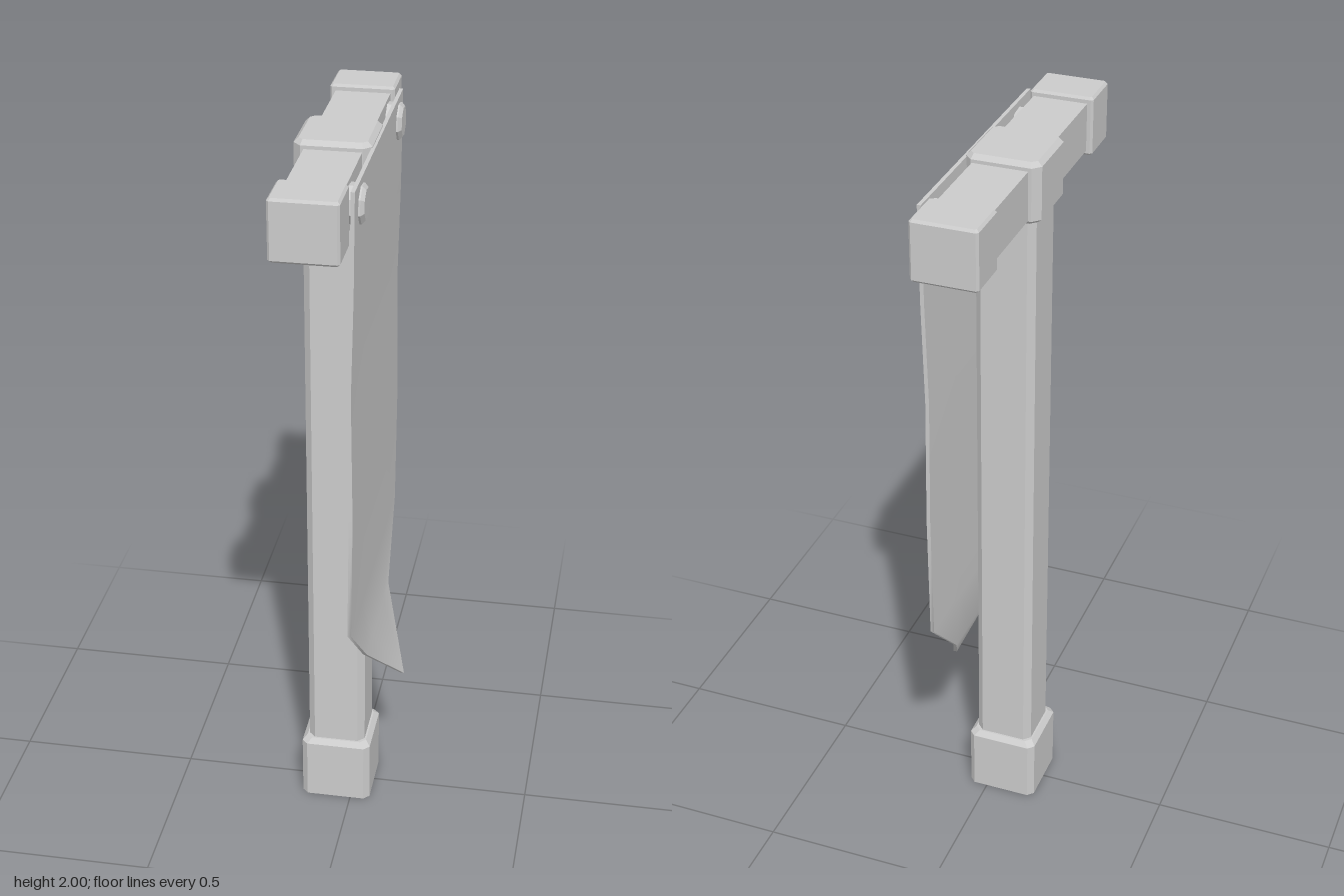
import * as THREE from 'three';

const grey = new THREE.MeshStandardMaterial({ color: 0xcccccc, flatShading: true, side: THREE.DoubleSide });
const clothGrey = new THREE.MeshStandardMaterial({ color: 0xcccccc, side: THREE.DoubleSide });

// Chamfered rectangle outline, counter-clockwise seen from above
function outline(w, d, c, y) {
  const a = w / 2, b = d / 2;
  return [[a, b - c], [a, c - b], [a - c, -b], [c - a, -b], [-a, c - b], [-a, b - c], [c - a, b], [a - c, b]]
    .map(([x, z]) => [x, y, z]);
}

// Upright block from sections [y, width, depth, chamfer], with optional end faces
function block(name, sections, { bottom = true, top = true } = {}) {
  const rings = sections.map(([y, w, d, c]) => outline(w, d, c, y));
  const pos = rings.flat(2), index = [], n = 8;
  for (let r = 0; r < rings.length - 1; r++) {
    for (let i = 0; i < n; i++) {
      const a = r * n + i, b = r * n + (i + 1) % n;
      index.push(a, b, b + n, a, b + n, a + n);
    }
  }
  const last = (rings.length - 1) * n;
  for (let i = 1; i < n - 1; i++) {
    if (bottom) index.push(0, i + 1, i);
    if (top) index.push(last, last + i, last + i + 1);
  }
  const geo = new THREE.BufferGeometry();
  geo.setAttribute('position', new THREE.Float32BufferAttribute(pos, 3));
  geo.setIndex(index);
  geo.computeVertexNormals();
  const mesh = new THREE.Mesh(geo, grey);
  mesh.name = name;
  return mesh;
}

// Thin hanging cloth: rows of [y, half width, x], ending in a bent point
function makeBanner() {
  const rows = [
    [1.985, 0.37, 0.057], [1.72, 0.37, 0.054], [1.45, 0.37, 0.047], [1.1, 0.37, 0.051],
    [0.75, 0.37, 0.047], [0.57, 0.187, 0.058], [0.39, 0.001, 0.134],
  ];
  const steps = rows.length - 1;
  const geo = new THREE.BoxGeometry(0.01, 1, 2, 1, steps, 4);
  const p = geo.attributes.position;
  for (let i = 0; i < p.count; i++) {
    const [y, half, x] = rows[Math.round((0.5 - p.getY(i)) * steps)];
    p.setXYZ(i, x + p.getX(i), y, p.getZ(i) * half);
  }
  geo.computeVertexNormals();
  const mesh = new THREE.Mesh(geo, clothGrey);
  mesh.name = 'banner';
  return mesh;
}

export function createModel() {
  const model = new THREE.Group();
  const axisX = -0.043;

  // Upright post with a hollow foot and a crown
  const post = block('post', [[0.17, 0.16, 0.16, 0.018], [1.86, 0.16, 0.16, 0.018]], { bottom: false, top: false });
  const foot = block('foot', [
    [0, 0.196, 0.196, 0.016], [0.178, 0.196, 0.196, 0.016], [0.192, 0.17, 0.17, 0.016],
  ], { bottom: false });
  const crown = block('crown', [
    [1.836, 0.17, 0.17, 0.016], [1.848, 0.196, 0.196, 0.02],
    [1.988, 0.196, 0.196, 0.02], [2, 0.172, 0.172, 0.012],
  ]);
  for (const part of [post, foot, crown]) {
    part.position.x = axisX;
    model.add(part);
  }

  // Crossbar with a cap on each end
  const bar = new THREE.Mesh(new THREE.BoxGeometry(0.145, 0.13, 0.72), grey);
  bar.name = 'crossbar';
  bar.position.set(-0.04, 1.914, 0);
  model.add(bar);
  for (const side of [-1, 1]) {
    const cap = block('crossbarCap', [
      [1.836, 0.16, 0.115, 0.004], [1.842, 0.172, 0.126, 0.006],
      [1.989, 0.172, 0.126, 0.006], [1.996, 0.16, 0.115, 0.004],
    ]);
    cap.position.set(-0.042, 0, side * 0.405);
    model.add(cap);
  }

  // Cloth and the bolts that hold it
  model.add(makeBanner());
  const profile = [[0.05, 0.03], [0.05, 0.066], [0.04, 0.075], [0, 0.075]].map(([r, y]) => new THREE.Vector2(r, y));
  for (const z of [0.275, -0.302]) {
    const bolt = new THREE.Mesh(new THREE.LatheGeometry(profile, 8, Math.PI / 12), grey);
    bolt.name = 'bolt';
    bolt.rotation.z = -Math.PI / 2;
    bolt.position.set(0, 1.92, z);
    model.add(bolt);
  }
  return model;
}
